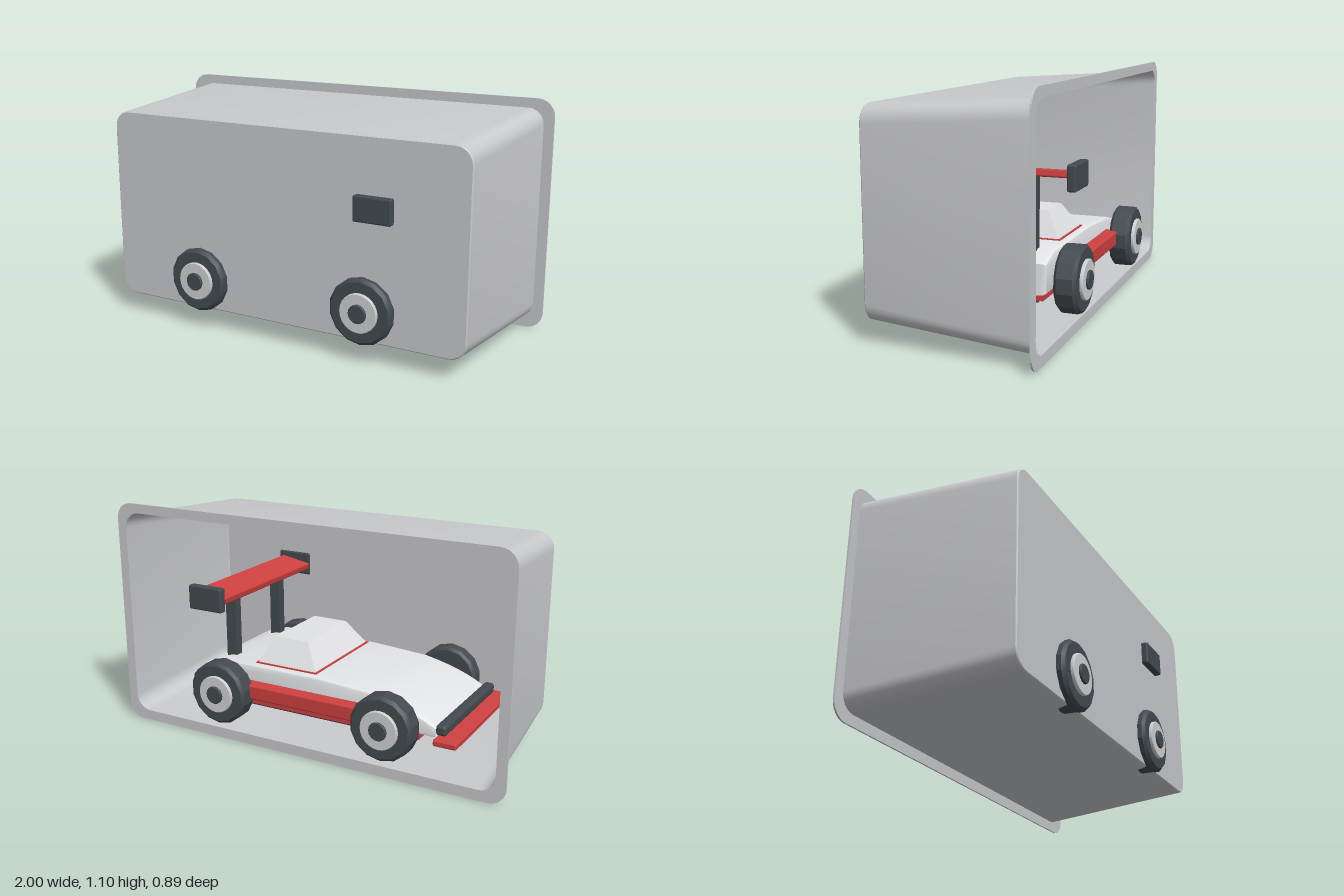
import * as THREE from 'three';
import { toCreasedNormals } from 'three/addons/utils/BufferGeometryUtils.js';
import { RoundedBoxGeometry } from 'three/addons/geometries/RoundedBoxGeometry.js';

const mat = (name, color, side = THREE.FrontSide) =>
  Object.assign(new THREE.MeshStandardMaterial({ color, side }), { name });

const M = {
  tray: mat('tray grey', 0xc8c9cd, THREE.DoubleSide),
  body: mat('body white', 0xe2e3e5),
  red: mat('red', 0xcf4040),
  dark: mat('dark grey', 0x434a4f),
  hub: mat('hub silver', 0xcfd2d4),
};

function add(parent, name, geometry, material, x = 0, y = 0, z = 0) {
  const mesh = new THREE.Mesh(geometry, material);
  mesh.name = name;
  mesh.position.set(x, y, z);
  parent.add(mesh);
  return mesh;
}

const box = (w, h, d) => new THREE.BoxGeometry(w, h, d);
const rbox = (w, h, d, r = 0.008) => new RoundedBoxGeometry(w, h, d, 2, r);

// Rounded rectangle outline, counter-clockwise, always 28 points
function roundRect(hw, y0, y1, r) {
  const corners = [[hw - r, y0 + r], [hw - r, y1 - r], [-hw + r, y1 - r], [-hw + r, y0 + r]];
  return corners.flatMap(([cx, cy], k) => Array.from({ length: 7 }, (_, i) => {
    const a = (k - 1 + i / 6) * Math.PI / 2;
    return new THREE.Vector2(cx + r * Math.cos(a), cy + r * Math.sin(a));
  }));
}

// Skin through rings of [outline, z]
function loft(rings) {
  const pos = [];
  for (let k = 0; k < rings.length - 1; k++) {
    const [a, za] = rings[k], [b, zb] = rings[k + 1];
    for (let i = 0; i < a.length; i++) {
      const j = (i + 1) % a.length;
      pos.push(a[i].x, a[i].y, za, a[j].x, a[j].y, za, b[j].x, b[j].y, zb);
      pos.push(a[i].x, a[i].y, za, b[j].x, b[j].y, zb, b[i].x, b[i].y, zb);
    }
  }
  const g = new THREE.BufferGeometry();
  g.setAttribute('position', new THREE.Float32BufferAttribute(pos, 3));
  return toCreasedNormals(g, 0.6);
}

function makeTray() {
  const tray = new THREE.Group();
  tray.name = 'tray';
  // flat rim around the open back
  const opening = roundRect(0.952, 0.05, 1.055, 0.075);
  const rim = new THREE.Shape(roundRect(1, 0, 1.1, 0.08));
  rim.holes.push(new THREE.Path(opening));
  add(tray, 'trayRim', new THREE.ExtrudeGeometry(rim, { depth: 0.008, bevelEnabled: false }),
    M.tray, 0, 0, -0.383);
  // tapered walls
  const face = roundRect(0.905, 0.102, 1.003, 0.075);
  add(tray, 'trayWalls', loft([
    [opening, -0.38],
    [roundRect(0.91, 0.097, 1.008, 0.08), 0.38],
    [face, 0.385],
  ]), M.tray);
  add(tray, 'trayFace', new THREE.ShapeGeometry(new THREE.Shape(face)), M.tray, 0, 0, 0.385);
  return tray;
}

function makeWheel(x, side) {
  const wheel = new THREE.Group();
  wheel.name = 'wheel';
  const disc = (r, h, c, n) => {
    const pts = [[0, -h], [r - c, -h], [r, -h + c], [r, h - c], [r - c, h], [0, h]]
      .map(([a, b]) => new THREE.Vector2(a, b));
    return toCreasedNormals(new THREE.LatheGeometry(pts, n).rotateX(Math.PI / 2), 0.4);
  };
  add(wheel, 'tire', disc(0.153, 0.05, 0.014, 14), M.dark, 0, 0, side * 0.37);
  add(wheel, 'hub', disc(0.09, 0.01, 0.003, 24), M.hub, 0, 0, side * 0.425);
  add(wheel, 'hubCap', disc(0.043, 0.012, 0.003, 16), M.dark, 0, 0, side * 0.433);
  wheel.position.set(x, 0.24, 0);
  return wheel;
}

// Cabin with a narrower, shorter roof
function cabinGeometry() {
  const g = box(0.316, 0.12, 0.51).toNonIndexed();
  const p = g.attributes.position;
  for (let i = 0; i < p.count; i++) {
    if (p.getY(i) > 0) {
      p.setX(i, p.getX(i) > 0 ? 0.104 : -0.076);
      p.setZ(i, Math.sign(p.getZ(i)) * 0.185);
    }
  }
  g.computeVertexNormals();
  return g;
}

function makeCar() {
  const car = new THREE.Group();
  car.name = 'raceCar';

  // body shell from its side profile
  const s = new THREE.Shape();
  s.moveTo(-0.63, 0.21);
  s.lineTo(0.57, 0.21);
  s.lineTo(0.57, 0.32);
  s.lineTo(0.47, 0.353);
  s.lineTo(-0.05, 0.353);
  s.lineTo(-0.33, 0.335);
  s.quadraticCurveTo(-0.52, 0.3, -0.63, 0.235);
  const shell = new THREE.ExtrudeGeometry(s, {
    depth: 0.54, bevelThickness: 0.025, bevelSize: 0.015, bevelSegments: 3, curveSegments: 6,
  }).translate(0, 0, -0.27);
  add(car, 'bodyShell', toCreasedNormals(shell, 0.6), M.body);

  add(car, 'cabinTrim', box(0.33, 0.008, 0.524), M.red, 0.142, 0.369, 0);
  add(car, 'cabin', cabinGeometry(), M.body, 0.142, 0.429, 0);

  // underside
  add(car, 'belly', box(1.1, 0.05, 0.54), M.red, 0, 0.185, 0);
  add(car, 'floor', rbox(1.0, 0.035, 0.46), M.dark, 0, 0.15, 0);

  // bumpers and front splitter
  add(car, 'splitter', rbox(0.11, 0.03, 0.68), M.red, -0.7, 0.195, 0);
  add(car, 'splitterArm', box(0.14, 0.03, 0.3), M.red, -0.6, 0.2, 0);
  add(car, 'frontBumper', rbox(0.05, 0.05, 0.6, 0.015), M.dark, -0.665, 0.238, 0);
  add(car, 'rearBumper', new THREE.CylinderGeometry(0.03, 0.03, 0.48, 12).rotateX(Math.PI / 2),
    M.dark, 0.67, 0.22, 0);
  add(car, 'rearBumperArm', box(0.12, 0.03, 0.24), M.red, 0.6, 0.21, 0);

  // wheels and axles
  for (const x of [-0.43, 0.43]) {
    add(car, 'axle', new THREE.CylinderGeometry(0.03, 0.03, 0.68, 12).rotateX(Math.PI / 2), M.dark, x, 0.24, 0);
    for (const side of [-1, 1]) car.add(makeWheel(x, side));
  }

  // rear wing and side sills
  const wing = add(car, 'wingBlade', rbox(0.16, 0.035, 0.78), M.red, 0.475, 0.7, 0);
  wing.rotation.z = 0.18;
  for (const side of [-1, 1]) {
    add(car, 'wingStrut', box(0.055, 0.35, 0.045), M.dark, 0.477, 0.52, side * 0.195);
    add(car, 'wingEndPlate', rbox(0.18, 0.115, 0.04), M.dark, 0.48, 0.698, side * 0.397);
    add(car, 'sill', rbox(0.66, 0.07, 0.07), M.red, 0, 0.255, side * 0.325);
  }
  return car;
}

export function createModel() {
  const model = new THREE.Group();
  model.name = 'packagedRaceCar';
  model.add(makeTray(), makeCar());
  return model;
}
